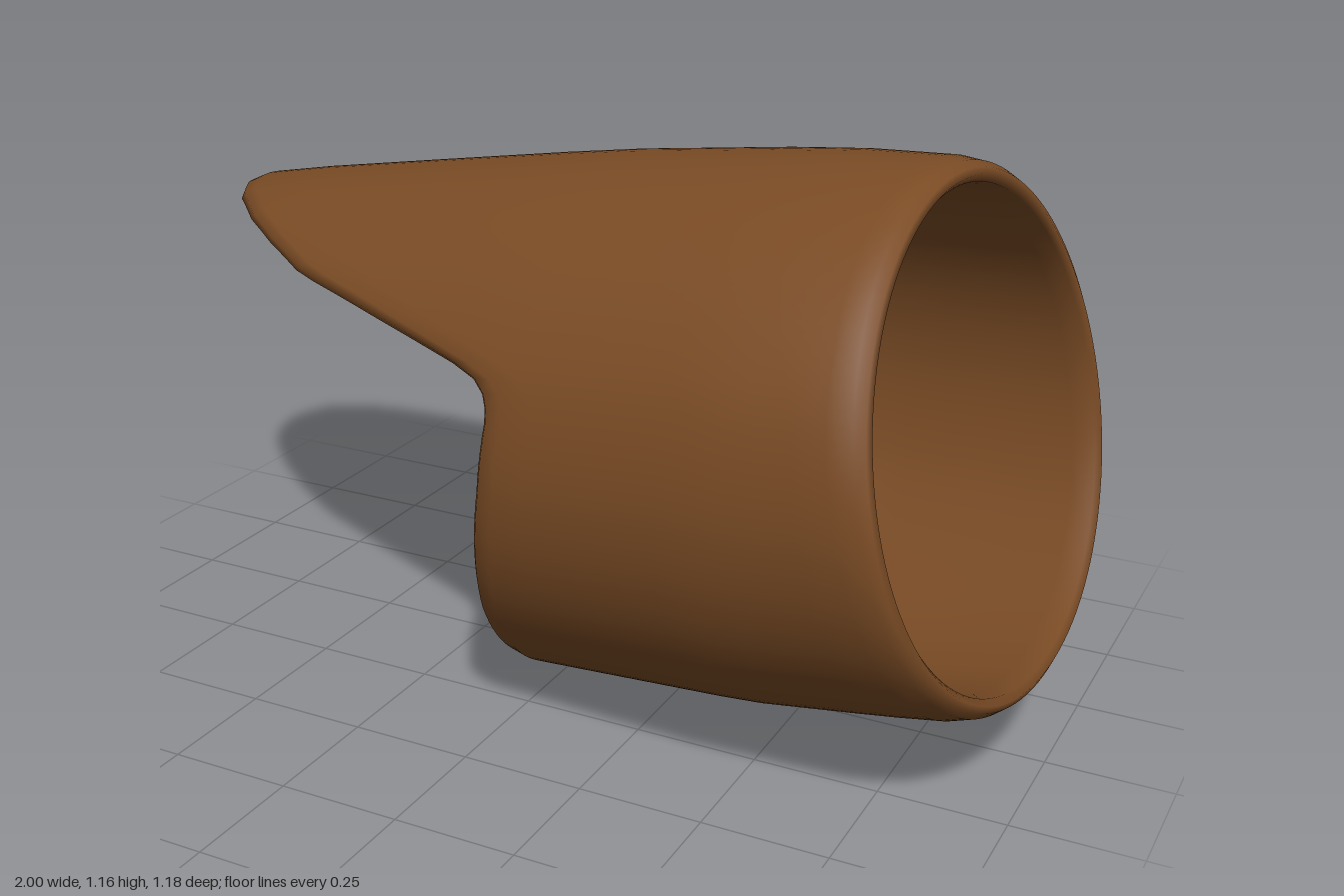
import * as THREE from 'three';

// Piecewise-linear lookup through [key, value] pairs
function lookup(points, k) {
  if (k <= points[0][0]) return points[0][1];
  for (let i = 1; i < points.length; i++) {
    const [a, va] = points[i - 1], [b, vb] = points[i];
    if (k <= b) return va + ((vb - va) * (k - a)) / (b - a);
  }
  return points[points.length - 1][1];
}

// Radius of the sleeve along x
const RADIUS = [[-1, 0.488], [-0.8, 0.502], [-0.4, 0.52], [0, 0.537], [0.5, 0.539], [0.77, 0.52], [1, 0.498]];

// Where the sleeve ends on the hood side, by angle (0 front, 90 top, 180 back, 270 bottom)
const HOOD_EDGE = [
  [0, 0.01], [15, 0.02], [20, 0.015], [25, -0.03], [36, -0.3], [47, -0.56], [57, -0.7], [66, -0.81], [78, -0.92],
  [88, -0.975], [100, -1], [115, -0.985], [124, -0.95], [131, -0.89], [138, -0.78], [153, -0.5],
  [168, -0.24], [177, -0.03], [182, 0], [210, -0.035], [240, -0.055], [270, -0.065], [300, -0.055], [330, -0.03], [360, 0.01],
];

const THICKNESS = 0.045;

// Point on the leaning sleeve at a given x, angle and depth below the outer skin
function sleevePoint(x, angle, depth) {
  const r = lookup(RADIUS, x) - depth;
  return [x, 0.537 + 0.14 * x + r * Math.sin(angle), -0.06 + 0.145 * x + r * Math.cos(angle)];
}

// Closed wall profile at one angle: outer skin, slanted round rim, inner skin
function wallProfile(angle) {
  const left = lookup(HOOD_EDGE, THREE.MathUtils.radToDeg(angle));
  const right = 0.885 - 0.105 * Math.sin(angle) - 0.06 * Math.cos(angle);
  const t = THICKNESS, steps = 10, pts = [[left, 0.55 * t], [left + 0.012, 0.2 * t]];
  for (let i = 0; i <= steps; i++) {
    pts.push([THREE.MathUtils.lerp(left + 0.05, right - 0.07, i / steps), 0]);
  }
  pts.push([right - 0.025, 0.15 * t], [right - 0.006, 0.4 * t], [right, 0.7 * t], [right - 0.012, t]);
  for (let i = steps; i >= 0; i--) {
    pts.push([THREE.MathUtils.lerp(left + 0.05, right - 0.06, i / steps), t]);
  }
  pts.push([left + 0.012, 0.9 * t]);
  return pts.map(([x, depth]) => sleevePoint(x, angle, depth));
}

// Skin the profiles all the way round
function sleeveGeometry(segments) {
  const positions = [], indices = [];
  let count = 0;
  for (let i = 0; i < segments; i++) {
    const profile = wallProfile((i / segments) * Math.PI * 2);
    count = profile.length;
    profile.forEach((p) => positions.push(...p));
  }
  for (let i = 0; i < segments; i++) {
    const n = (i + 1) % segments;
    for (let j = 0; j < count; j++) {
      const k = (j + 1) % count;
      const a = i * count + j, b = i * count + k, c = n * count + k, d = n * count + j;
      indices.push(a, b, c, a, c, d);
    }
  }
  const geometry = new THREE.BufferGeometry();
  geometry.setAttribute('position', new THREE.Float32BufferAttribute(positions, 3));
  geometry.setIndex(indices);
  geometry.computeVertexNormals();
  return geometry;
}

export function createModel() {
  const model = new THREE.Group();
  model.name = 'hoodedSleeve';

  const brown = new THREE.MeshStandardMaterial({ color: 0x7b4c25 });
  brown.name = 'brown';

  // Ring-shaped sleeve with a long hood over one end
  const sleeve = new THREE.Mesh(sleeveGeometry(120), brown);
  sleeve.name = 'sleeveWithHood';
  model.add(sleeve);

  return model;
}
